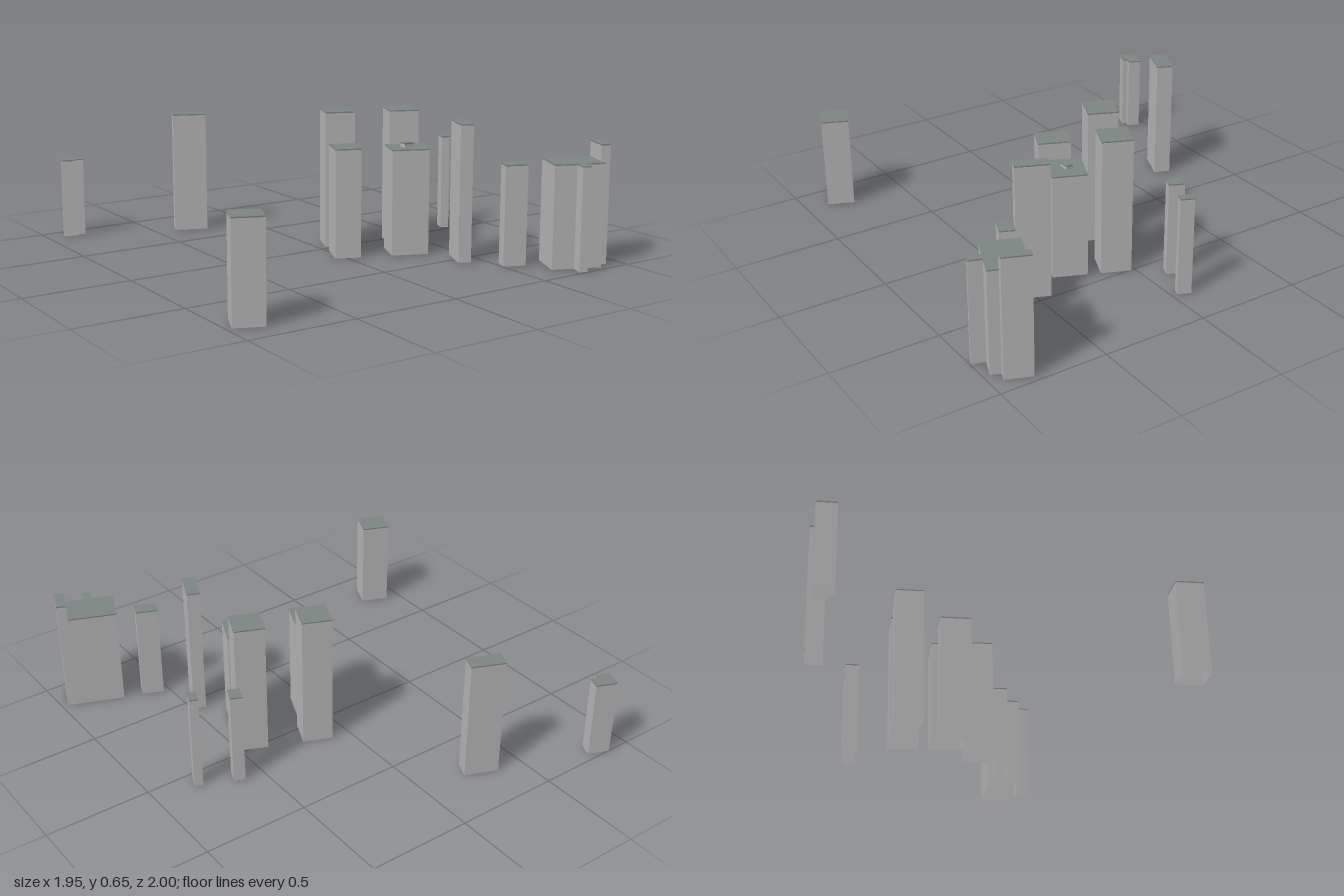
import * as THREE from 'three';

const wallMat = new THREE.MeshStandardMaterial({ color: 0xb6b6b6, side: THREE.DoubleSide });
wallMat.name = 'wall grey';
const roofMat = new THREE.MeshStandardMaterial({ color: 0x7e8683 });
roofMat.name = 'roof grey green';

const ROOF = 0.006; // roof slab thickness
const ANGLE = 0.4;  // shared street-grid rotation

// Footprint of a rectangle turned to the street grid, as [x, z] corners
function rect(cx, cz, w, d, a = ANGLE) {
  const c = Math.cos(a), s = Math.sin(a);
  return [[-1, -1], [1, -1], [1, 1], [-1, 1]].map(([i, j]) => {
    const u = i * w / 2, v = j * d / 2;
    return [cx + u * c - v * s, cz + u * s + v * c];
  });
}

// Open-bottomed walls with a thin roof slab on top
function building(name, pts, height, base = 0) {
  const group = new THREE.Group();
  group.name = name;
  const top = height - ROOF;

  const pos = [];
  pts.forEach(([x0, z0], i) => {
    const [x1, z1] = pts[(i + 1) % pts.length];
    pos.push(x0, base, z0, x1, top, z1, x1, base, z1);
    pos.push(x0, base, z0, x0, top, z0, x1, top, z1);
  });
  const wallGeo = new THREE.BufferGeometry();
  wallGeo.setAttribute('position', new THREE.Float32BufferAttribute(pos, 3));
  wallGeo.computeVertexNormals();
  const walls = new THREE.Mesh(wallGeo, wallMat);
  walls.name = name + 'Walls';

  const shape = new THREE.Shape(pts.map(([x, z]) => new THREE.Vector2(x, -z)));
  const roofGeo = new THREE.ExtrudeGeometry(shape, { depth: ROOF, bevelEnabled: false });
  roofGeo.rotateX(-Math.PI / 2).translate(0, top, 0);
  const roof = new THREE.Mesh(roofGeo, roofMat);
  roof.name = name + 'Roof';

  group.add(walls, roof);
  return group;
}

export function createModel() {
  const city = new THREE.Group();
  city.name = 'cityBlocks';

  // Rectangular towers: name, x, z, width, depth, height
  const towers = [
    ['backTower', 0.128, -0.063, 0.141, 0.141, 0.65],
    ['eastTower', 0.412, 0.057, 0.141, 0.141, 0.65],
    ['westTower', 0.035, 0.138, 0.121, 0.15, 0.513],
    ['centreTower', 0.3125, 0.2425, 0.175, 0.16, 0.5],
    ['slimTower', 0.433, 0.497, 0.06, 0.154, 0.64],
    ['smallBlock', 0.567, 0.707, 0.105, 0.069, 0.467],
    ['narrowTowerInner', 0.607, -0.135, 0.055, 0.072, 0.45],
    ['narrowTowerOuter', 0.778, -0.064, 0.04, 0.064, 0.467],
    ['loneTower', -0.888, 0.805, 0.136, 0.128, 0.442],
    ['rearSlab', -0.31, -0.738, 0.161, 0.079, 0.585],
  ];
  for (const [name, x, z, w, d, h] of towers) city.add(building(name, rect(x, z, w, d), h));

  // Rooftop box on the centre tower
  city.add(building('rooftopBox', rect(0.313, 0.242, 0.05, 0.034, 0), 0.52, 0.5));

  // Notched block in the far corner
  city.add(building('notchedBlock', [
    [-0.886, -1], [-0.79, -0.96], [-0.812, -0.902],
    [-0.846, -0.916], [-0.855, -0.892], [-0.918, -0.918],
  ], 0.38));

  // Large block with a front annex, and its taller side wing
  city.add(building('largeBlock', [
    [0.717, 0.722], [0.93, 0.808], [0.865, 0.971], [0.778, 0.936],
    [0.757, 0.995], [0.722, 0.98], [0.744, 0.922], [0.648, 0.881],
  ], 0.48));
  city.add(building('sideWing', [
    [0.93, 0.808], [0.971, 0.826], [0.924, 0.942], [0.883, 0.926],
  ], 0.555));

  return city;
}
